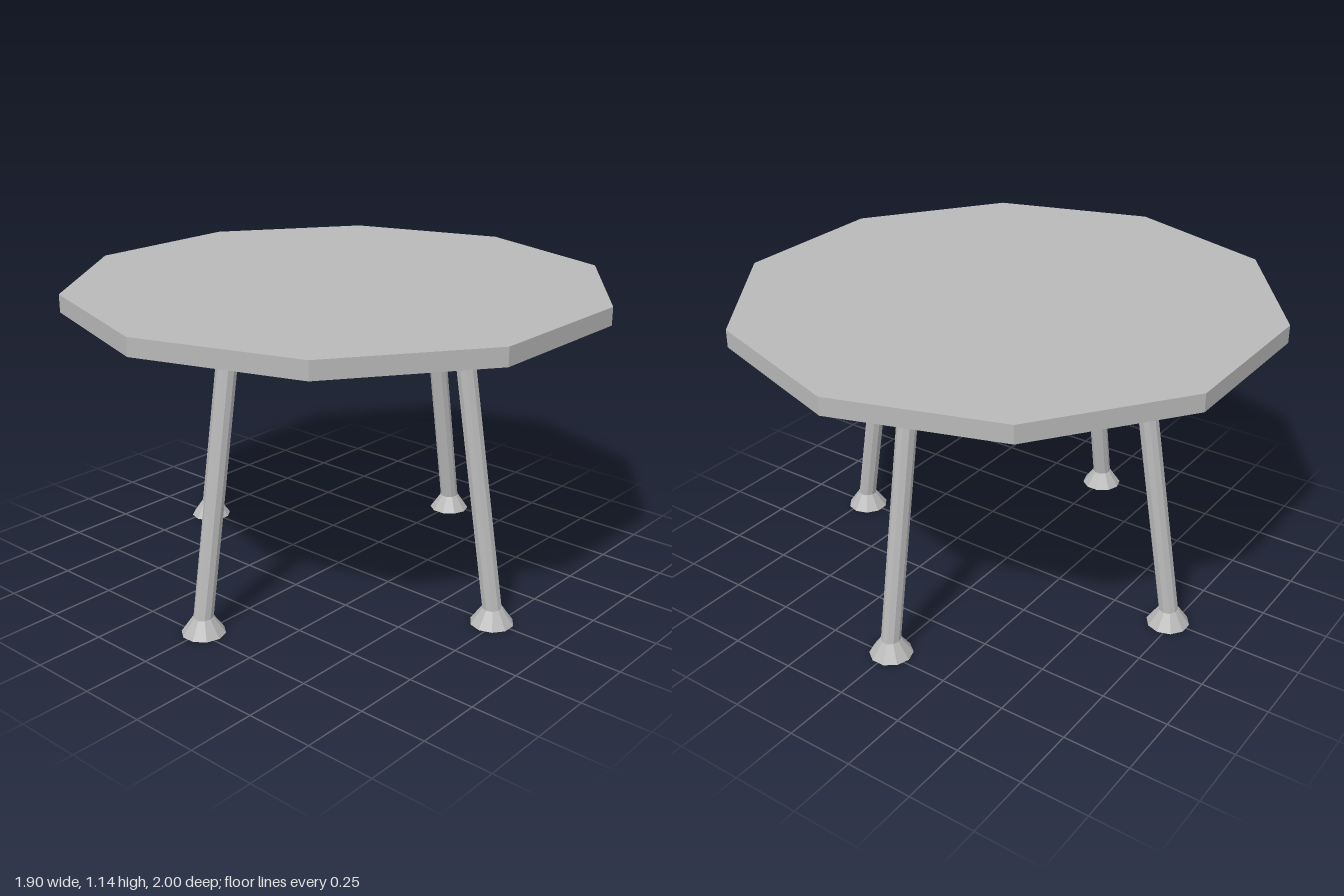
import * as THREE from 'three';

const SIDES = 10;

export function createModel() {
  const grey = new THREE.MeshStandardMaterial({ color: 0xb8b8b8, flatShading: true });
  grey.name = 'grey';
  const table = new THREE.Group();
  table.name = 'table';

  // Ten-sided tabletop, one corner pointing to the front
  const top = new THREE.Mesh(new THREE.CylinderGeometry(1, 1, 0.065, SIDES), grey);
  top.name = 'tabletop';
  top.position.y = 1.1125;
  table.add(top);

  // Leg axis, leaning inwards from the foot to the underside of the top
  const start = new THREE.Vector3(0, 0.04, 0.731);
  const end = new THREE.Vector3(0, 1.085, 0.552);
  const axis = end.clone().sub(start);
  const legGeometry = new THREE.CylinderGeometry(0.036, 0.036, axis.length(), SIDES);
  const footGeometry = new THREE.CylinderGeometry(0.038, 0.08, 0.06, SIDES);
  // Corners of legs and feet point sideways
  legGeometry.rotateY(Math.PI / 2);
  footGeometry.rotateY(Math.PI / 2);

  // Four legs: front, left, back, right
  ['front', 'left', 'back', 'right'].forEach((side, i) => {
    const group = new THREE.Group();
    group.name = side + 'Leg';
    group.rotation.y = i * Math.PI / 2;

    const leg = new THREE.Mesh(legGeometry, grey);
    leg.name = side + 'LegPost';
    leg.position.copy(start).add(end).multiplyScalar(0.5);
    leg.rotation.x = Math.atan2(axis.z, axis.y);

    const foot = new THREE.Mesh(footGeometry, grey);
    foot.name = side + 'Foot';
    foot.position.set(0, 0.03, 0.729);

    group.add(leg, foot);
    table.add(group);
  });
  return table;
}
